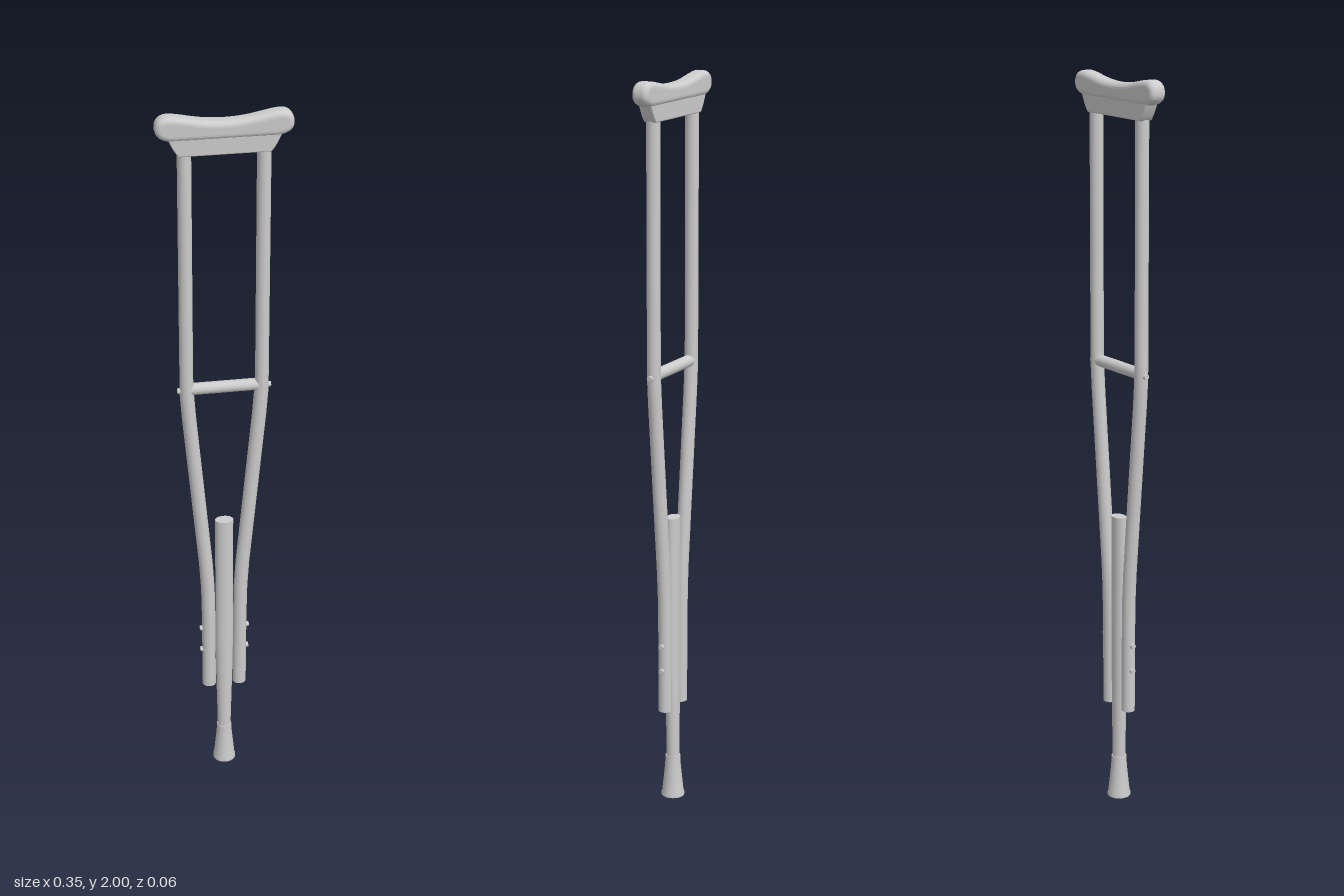
import * as THREE from 'three';

const material = new THREE.MeshStandardMaterial({ color: 0xcccccc, roughness: 0.6 });

function add(parent, name, geometry, x = 0, y = 0, z = 0) {
  const mesh = new THREE.Mesh(geometry, material);
  mesh.name = name;
  mesh.position.set(x, y, z);
  parent.add(mesh);
  return mesh;
}

// Capped bar through horizontal oval sections [x, y, radiusX, radiusZ], listed from the bottom up
function bar(sections) {
  const n = sections.length - 1;
  const geometry = new THREE.CylinderGeometry(1, 1, 1, 24, n);
  const p = geometry.attributes.position;
  for (let i = 0; i < p.count; i++) {
    const [x, y, rx, rz] = sections[Math.round((p.getY(i) + 0.5) * n)];
    p.setXYZ(i, x + p.getX(i) * rx, y, p.getZ(i) * rz);
  }
  geometry.computeVertexNormals();
  return geometry;
}

// Extrusion centred on z = 0 whose bevel stays inside the outline
function slab(shape, thickness, bevel) {
  const geometry = new THREE.ExtrudeGeometry(shape, {
    depth: thickness - 2 * bevel, bevelSize: bevel, bevelThickness: bevel,
    bevelOffset: -bevel, bevelSegments: 5, curveSegments: 16,
  });
  return geometry.translate(0, 0, bevel - thickness / 2);
}

export function createModel() {
  const model = new THREE.Group();
  model.name = 'crutch';

  // Underarm pad: dipped saddle with rounded ends
  const pad = new THREE.Shape();
  pad.moveTo(-0.13, 1.935);
  pad.lineTo(0.13, 1.935);
  pad.bezierCurveTo(0.155, 1.937, 0.173, 1.947, 0.173, 1.968);
  pad.bezierCurveTo(0.173, 1.99, 0.158, 2, 0.14, 2);
  pad.bezierCurveTo(0.1, 1.998, 0.07, 1.982, 0, 1.982);
  pad.bezierCurveTo(-0.07, 1.982, -0.1, 1.998, -0.14, 2);
  pad.bezierCurveTo(-0.158, 2, -0.173, 1.99, -0.173, 1.968);
  pad.bezierCurveTo(-0.173, 1.947, -0.155, 1.937, -0.13, 1.935);
  add(model, 'underarmPad', slab(pad, 0.047, 0.015));

  // Tapered block joining the pad to the rails
  const block = new THREE.Shape();
  block.moveTo(-0.115, 1.895);
  block.lineTo(0.115, 1.895);
  block.quadraticCurveTo(0.128, 1.908, 0.143, 1.945);
  block.lineTo(-0.143, 1.945);
  block.quadraticCurveTo(-0.128, 1.908, -0.115, 1.895);
  add(model, 'padBase', slab(block, 0.038, 0.004));

  // Side rails, bent inward below the hand grip, with their bolts
  for (const [side, s] of [['left', 1], ['right', -1]]) {
    add(model, side + 'Rail', bar([
      [s * 0.043, 0.27, 0.019, 0.018],
      [s * 0.044, 0.5, 0.019, 0.018],
      [s * 0.046, 0.6, 0.019, 0.018],
      [s * 0.051, 0.68, 0.019, 0.018],
      [s * 0.094, 1.15, 0.019, 0.018],
      [s * 0.099, 1.22, 0.019, 0.018],
      [s * 0.1, 1.27, 0.018, 0.018],
      [s * 0.1, 1.9, 0.018, 0.018],
    ]));
    for (const [name, x, y] of [['GripBolt', 0.117, 1.232], ['UpperBolt', 0.062, 0.464], ['LowerBolt', 0.061, 0.392]]) {
      const bolt = add(model, side + name, new THREE.CylinderGeometry(0.007, 0.009, 0.014, 12), s * x, y, 0);
      bolt.rotation.z = -s * Math.PI / 2;
    }
  }

  // Hand grip between the rails
  add(model, 'handGrip', new THREE.CylinderGeometry(0.016, 0.016, 0.18, 24), 0, 1.235, 0).rotation.z = Math.PI / 2;

  // Centre leg, held between the rails
  add(model, 'centreLeg', bar([
    [0, 0.08, 0.018, 0.018],
    [0, 0.14, 0.019, 0.018],
    [0, 0.3, 0.023, 0.018],
    [0, 0.42, 0.025, 0.018],
    [0, 0.82, 0.025, 0.018],
  ]));

  // Flared foot tip
  const tip = [[0, 0], [0.032, 0], [0.032, 0], [0.032, 0.008], [0.03, 0.012], [0.026, 0.05],
    [0.022, 0.09], [0.0205, 0.12], [0.0205, 0.12], [0, 0.122]];
  add(model, 'footTip', new THREE.LatheGeometry(tip.map(([r, y]) => new THREE.Vector2(r, y)), 28));

  return model;
}
